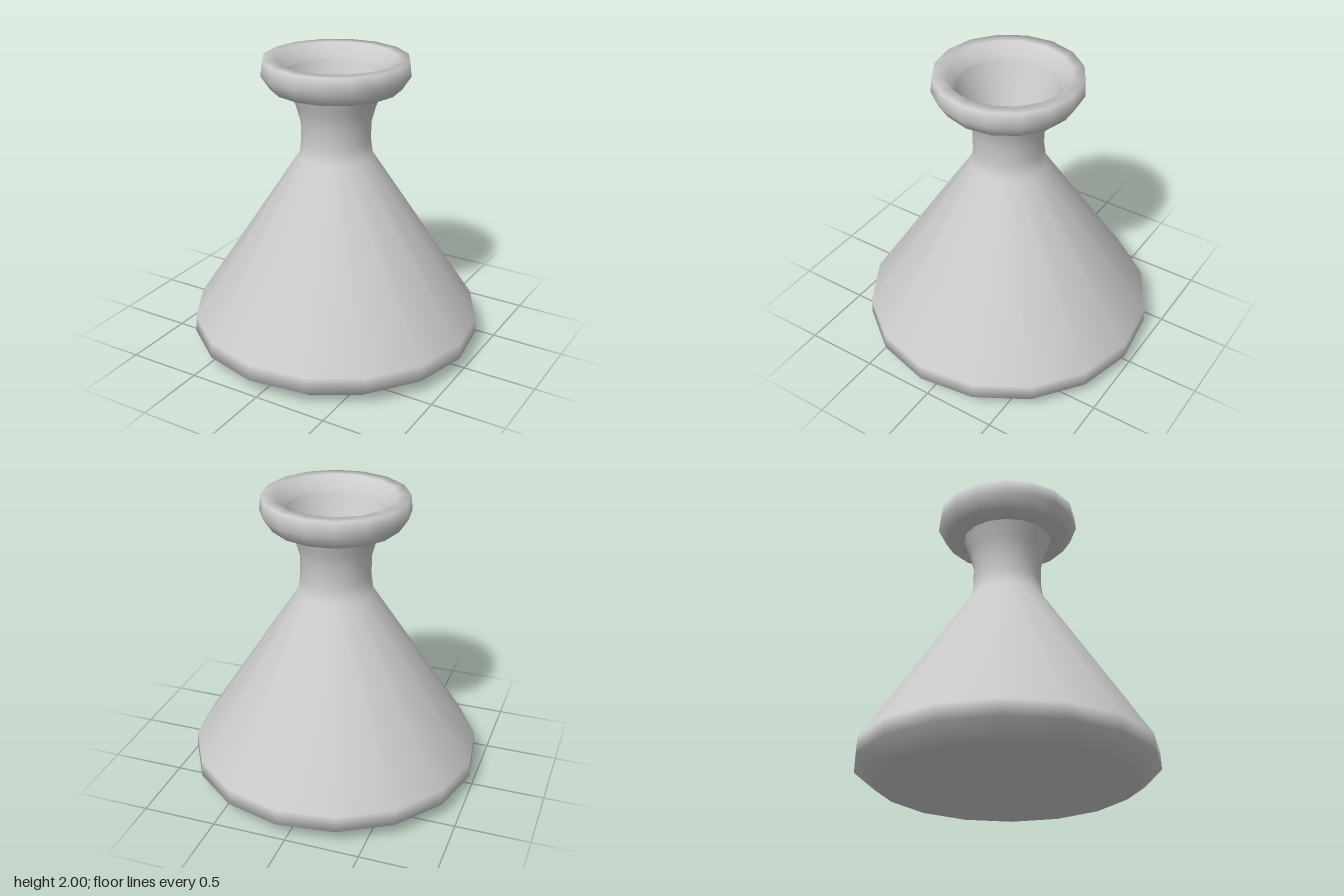
import * as THREE from 'three';

const SIDES = 16;
const TURN = THREE.MathUtils.degToRad(-3.5);

export function createModel() {
  const group = new THREE.Group();
  group.name = 'flask';
  const material = new THREE.MeshStandardMaterial({ color: 0xcccccc });

  // Revolve a profile of [radius, height] pairs around the y axis
  function revolve(name, profile, sides = SIDES) {
    const points = profile.map(([r, y]) => new THREE.Vector2(r, y));
    const mesh = new THREE.Mesh(new THREE.LatheGeometry(points, sides, TURN), material);
    mesh.name = name;
    group.add(mesh);
  }

  // Conical body with bevelled foot, and the flared neck
  revolve('body', [
    [0, 0], [0.85, 0], [0.99, 0.1], [0.985, 0.21],
    [0.25, 1.34], [0.235, 1.45], [0.235, 1.58], [0.265, 1.69], [0.31, 1.805],
  ]);

  // Thick rounded lip
  revolve('lip', [
    [0.3, 1.8], [0.43, 1.81], [0.49, 1.9], [0.48, 2], [0.4, 2], [0.34, 1.9],
  ]);

  // Funnel inside the mouth
  revolve('funnel', [[0.34, 1.9], [0.11, 1.35]], 32);

  // Flat floor of the funnel
  revolve('funnelFloor', [[0.11, 1.35], [0, 1.35]], 32);

  return group;
}
